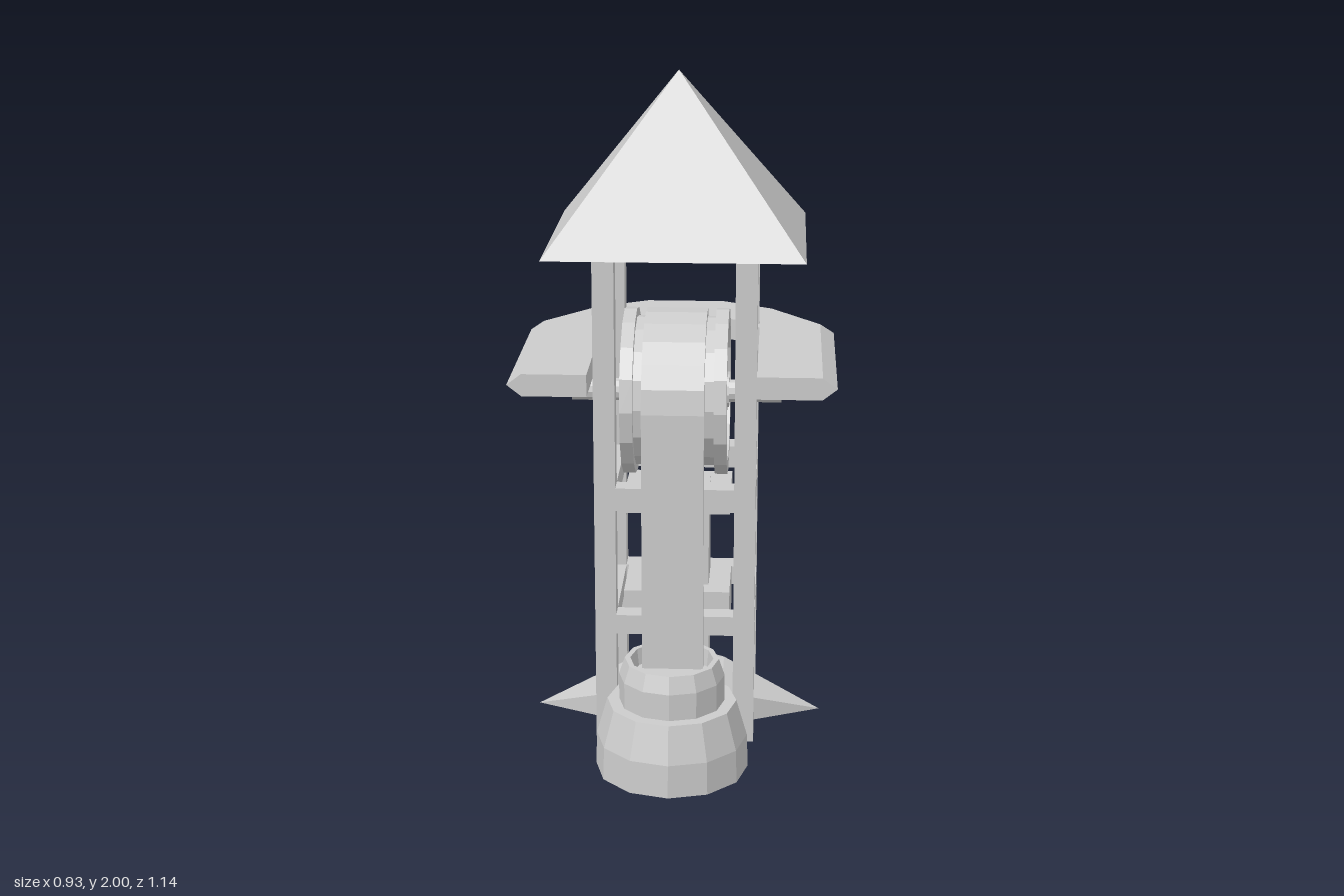
import * as THREE from 'three';
import { ConvexGeometry } from 'three/addons/geometries/ConvexGeometry.js';

const material = new THREE.MeshStandardMaterial({ color: 0xcccccc, flatShading: true });
const CZ = -0.07; // tower axis in z
const V2 = (x, y) => new THREE.Vector2(x, y);

export function createModel() {
  const model = new THREE.Group();

  const add = (name, geometry, parent = model) => {
    const mesh = new THREE.Mesh(geometry, material);
    mesh.name = name;
    parent.add(mesh);
    return mesh;
  };
  // Box given by its limits
  const box = (name, x0, x1, y0, y1, z0, z1, parent) => {
    const g = new THREE.BoxGeometry(x1 - x0, y1 - y0, z1 - z0);
    g.translate((x0 + x1) / 2, (y0 + y1) / 2, (z0 + z1) / 2);
    return add(name, g, parent);
  };

  // Pyramid roof
  const roof = new THREE.ConeGeometry(Math.SQRT1_2, 1, 4);
  roof.rotateY(Math.PI / 4).scale(0.75, 0.49, 0.72).translate(0, 1.755, -0.075);
  add('roof', roof);

  // Four posts and two rings of beams
  for (const s of [-1, 1]) {
    const x0 = s < 0 ? -0.238 : 0.175, x1 = x0 + 0.063;
    box('frontPost', x0, x1, 0, 1.52, 0.117, 0.18);
    box('backPost', x0, x1, 0, 1.52, -0.317, -0.243);
    for (const [y0, y1] of [[0.345, 0.405], [0.735, 0.805]]) {
      box('sideBeam', x0, x1, y0, y1, -0.243, 0.117);
    }
  }
  for (const [y0, y1] of [[0.345, 0.405], [0.735, 0.805]]) {
    box('frontBeam', -0.175, 0.175, y0, y1, 0.117, 0.18);
    box('backBeam', -0.175, 0.175, y0, y1, -0.317, -0.243);
  }

  // Central column with its collars
  box('column', -0.095, 0.095, 0.05, 0.74, CZ - 0.077, CZ + 0.077);
  box('lowerCollar', -0.16, 0.16, 0.3, 0.44, CZ - 0.138, CZ + 0.138);
  box('upperCollar', -0.16, 0.16, 0.69, 0.735, CZ - 0.138, CZ + 0.138);

  // Foot: a block with pointed wedges to the left, right and back
  box('footBlock', -0.138, 0.138, 0, 0.11, CZ - 0.138, CZ + 0.138);
  [[0, 0.475], [Math.PI / 2, 0.44], [-Math.PI / 2, 0.44]].forEach(([angle, reach]) => {
    const points = [new THREE.Vector3(0, 0, -reach)];
    for (const x of [-0.138, 0.138]) {
      points.push(new THREE.Vector3(x, 0, -0.138), new THREE.Vector3(x, 0.11, -0.138));
    }
    const wedge = add('footWedge', new ConvexGeometry(points));
    wedge.position.z = CZ;
    wedge.rotation.y = angle;
  });

  add('platform', platformGeometry());

  // Wheel: two spoked rims, a drum between them and an axle
  const wheel = new THREE.Group();
  wheel.name = 'wheel';
  wheel.position.set(0, 1.07, 0.043);
  model.add(wheel);
  const ring = (name, rIn, rOut, width, x, sides = 16) => {
    const h = width / 2;
    const g = new THREE.LatheGeometry(
      [V2(rIn, -h), V2(rOut, -h), V2(rOut, h), V2(rIn, h), V2(rIn, -h)], sides);
    g.rotateZ(-Math.PI / 2).translate(x, 0, 0);
    add(name, g, wheel);
  };
  ring('drum', 0.205, 0.222, 0.236, 0);
  for (const x of [-0.135, 0.135]) {
    ring('rim', 0.208, 0.247, 0.037, x);
    ring('hub', 0.03, 0.05, 0.04, x, 12);
    for (let i = 0; i < 6; i++) {
      const spoke = new THREE.BoxGeometry(0.022, 0.175, 0.022);
      spoke.translate(0, 0.127, 0).rotateX(i * Math.PI / 3).translate(x, 0, 0);
      add('spoke', spoke, wheel);
    }
  }
  const axle = new THREE.CylinderGeometry(0.034, 0.034, 0.62, 12);
  add('axle', axle.rotateZ(Math.PI / 2), wheel);

  // Belt: over the wheel top, then straight down into the tub
  const outer = [V2(0.307, 0.29)], inner = [V2(0.28, 0.29)];
  for (let i = 0; i <= 6; i++) {
    const a = i * Math.PI / 10.5, c = Math.cos(a), s = Math.sin(a);
    outer.push(V2(0.043 + 0.264 * c, 1.07 + 0.243 * s));
    inner.push(V2(0.043 + 0.237 * c, 1.07 + 0.22 * s));
  }
  const belt = new THREE.ExtrudeGeometry(new THREE.Shape([...outer, ...inner.reverse()]),
    { depth: 0.18, bevelEnabled: false });
  belt.rotateY(-Math.PI / 2).translate(0.09, 0, 0);
  add('belt', belt);

  // Stepped tub at the front
  const tub = new THREE.LatheGeometry([
    V2(0, 0), V2(0.225, 0), V2(0.222, 0.1), V2(0.19, 0.21), V2(0.155, 0.21), V2(0.155, 0.29),
    V2(0.138, 0.34), V2(0.122, 0.34), V2(0.116, 0.29), V2(0, 0.29)], 12);
  add('tub', tub.translate(0, 0, 0.342));

  return model;
}

// U-shaped walkway with a pointed outer edge, open at the front
function platformGeometry() {
  // Half outline: inner edge, top outer edge, outer point (x, z each)
  const half = [
    [0.24, 0.352, 0.425, 0.352, 0.467, 0.352],
    [0.24, -0.2, 0.425, -0.25, 0.467, -0.27],
    [0.17, -0.29, 0.275, -0.44, 0.335, -0.45],
    [0.07, -0.345, 0.12, -0.53, 0.14, -0.57]];
  const mirrored = half.map((r) => r.map((v, i) => (i % 2 ? v : -v))).reverse();
  const rows = [...half, ...mirrored];
  const positions = [], index = [];
  const top = 1.2, mid = 1.168, low = 1.135, n = 5;
  for (const [ix, iz, tx, tz, ox, oz] of rows) {
    positions.push(ix, top, iz, tx, top, tz, ox, mid, oz, tx, low, tz, ix, low, iz);
  }
  for (let i = 0; i < rows.length - 1; i++) {
    for (let j = 0; j < n; j++) {
      const a = i * n + j, b = i * n + (j + 1) % n;
      index.push(a, b, a + n, b, b + n, a + n);
    }
  }
  // End caps
  const e = (rows.length - 1) * n;
  for (let j = 1; j < n - 1; j++) index.push(0, j + 1, j, e, e + j, e + j + 1);
  const g = new THREE.BufferGeometry();
  g.setAttribute('position', new THREE.Float32BufferAttribute(positions, 3));
  g.setIndex(index);
  g.computeVertexNormals();
  return g;
}
